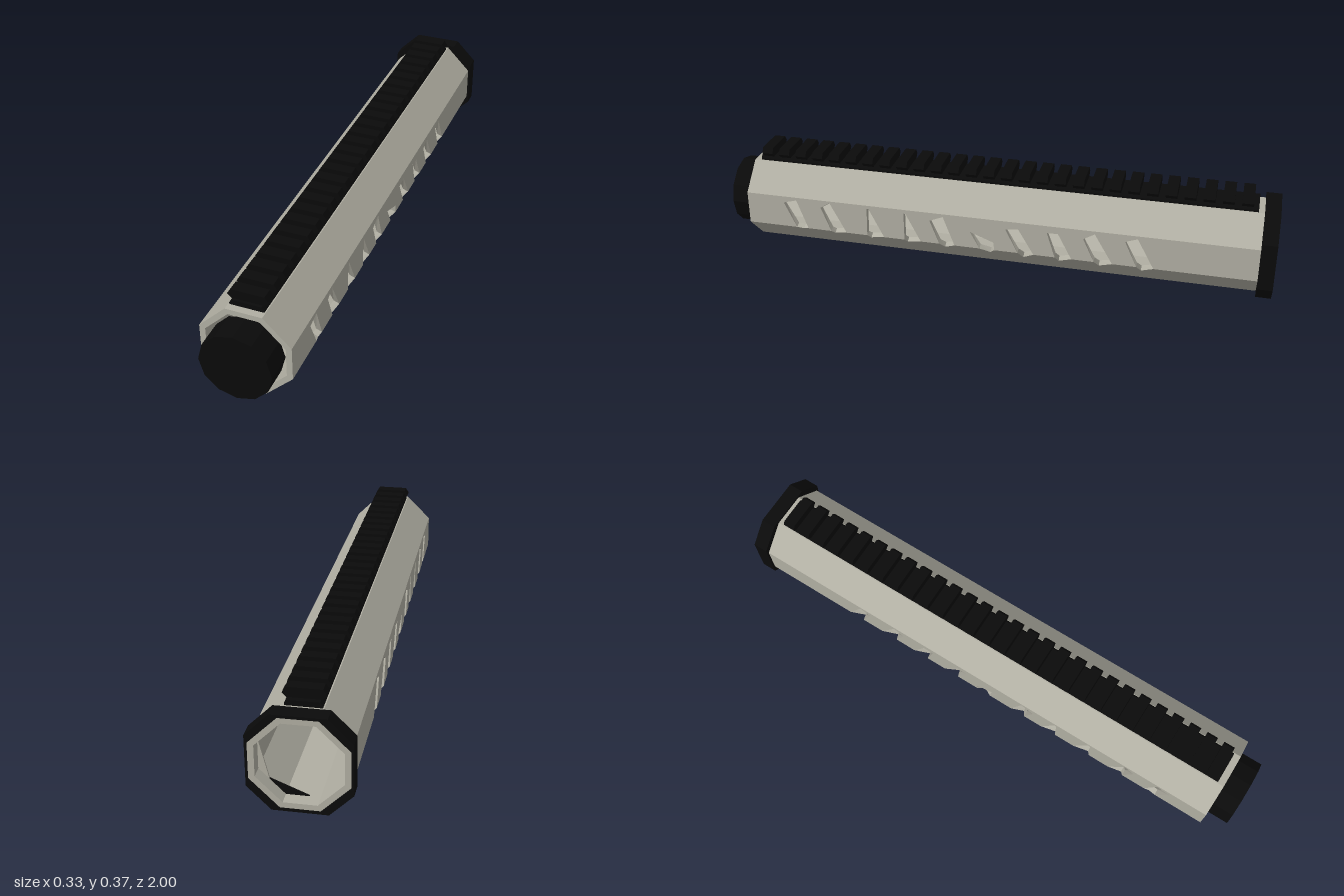
import * as THREE from 'three';

const FRONT = 0.922, BACK = -0.998;

// Octagon sections, counter-clockwise from the lower right corner
const octagon = (w, h, cx, cy, mid) => [
  [w, mid - cy], [w, mid + cy], [cx, mid + h], [-cx, mid + h],
  [-w, mid + cy], [-w, mid - cy], [-cx, mid - h], [cx, mid - h],
];
const OUTER = octagon(0.155, 0.154, 0.062, 0.061, 0.164);
const INNER = octagon(0.135, 0.135, 0.053, 0.053, 0.164);
const RIM = octagon(0.163, 0.1635, 0.087, 0.087, 0.1635);

// Vent slots: top corners (z, y, z, y), z of the two edge crossings, lower tip (z, y)
const SLOTS = [
  [0.78, 0.2, 0.73, 0.214, 0.735, 0.69, 0.71, 0.098],
  [0.636, 0.195, 0.6, 0.218, 0.6, 0.54, 0.59, 0.09],
  [0.457, 0.212, 0.45, 0.212, 0.46, 0.395, 0.45, 0.087],
  [0.317, 0.21, 0.31, 0.21, 0.317, 0.255, 0.31, 0.087],
  [0.22, 0.193, 0.17, 0.214, 0.185, 0.128, 0.17, 0.08],
  [0.07, 0.166, -0.016, 0.134, 0.035, -0.02, 0, 0.08],
  [-0.06, 0.193, -0.107, 0.198, -0.105, -0.163, -0.12, 0.07],
  [-0.21, 0.198, -0.25, 0.198, -0.24, -0.3, -0.25, 0.075],
  [-0.34, 0.19, -0.38, 0.214, -0.38, -0.445, -0.395, 0.075],
  [-0.487, 0.198, -0.53, 0.214, -0.53, -0.59, -0.545, 0.075],
];

const shapeOf = (pts) => new THREE.Shape(pts.map(([x, y]) => new THREE.Vector2(x, y)));

function prism(pts, z0, z1, hole) {
  const shape = shapeOf(pts);
  if (hole) shape.holes.push(shapeOf(hole));
  const geo = new THREE.ExtrudeGeometry(shape, { depth: z1 - z0, bevelEnabled: false });
  return geo.translate(0, 0, z0);
}

// One wall of the tube: an outline in (z, position across the wall), bent onto octagon side i
function wallGeometry(i, outline) {
  const geo = new THREE.ExtrudeGeometry(shapeOf(outline), { depth: 1, bevelEnabled: false });
  const pos = geo.attributes.position;
  const j = (i + 1) % 8, mix = THREE.MathUtils.lerp;
  for (let k = 0; k < pos.count; k++) {
    const z = pos.getX(k), t = pos.getY(k), d = pos.getZ(k);
    const [x, y] = [0, 1].map((a) => mix(mix(OUTER[i][a], OUTER[j][a], t), mix(INNER[i][a], INNER[j][a], t), d));
    pos.setXYZ(k, x, y, z);
  }
  geo.computeVertexNormals();
  return geo;
}

export function createModel() {
  const model = new THREE.Group();
  const grey = new THREE.MeshStandardMaterial({ color: 0xb0aea2 });
  grey.name = 'warm grey';
  const black = new THREE.MeshStandardMaterial({ color: 0x0a0a0a });
  black.name = 'black';

  const add = (name, geo, mat, parent = model) => {
    const mesh = new THREE.Mesh(geo, mat);
    mesh.name = name;
    parent.add(mesh);
    return mesh;
  };

  // Octagonal handguard, with slots notched across the lower side edges
  const tube = new THREE.Group();
  tube.name = 'handguard';
  model.add(tube);
  const sideT = (y) => (y - 0.103) / 0.122;
  const lowerT = (y) => (0.103 - y) / 0.093;
  const sideNotches = SLOTS.flatMap(([za, ya, zb, yb, zc, zd]) =>
    [[zc, 0], [za, sideT(ya)], [zb, sideT(yb)], [zd, 0]]);
  const lowerNotches = SLOTS.flatMap(([, , , , zc, zd, zt, yt]) =>
    [[zc, 0], [zt, lowerT(yt)], [zd, 0]]);
  for (let i = 0; i < 8; i++) {
    const notches = i % 4 === 0 ? sideNotches : i === 5 || i === 7 ? lowerNotches : [];
    const flip = i === 4 || i === 7;
    const outline = [[FRONT, 0], ...notches, [BACK, 0], [BACK, 1], [FRONT, 1]]
      .map(([z, t]) => [z, flip ? 1 - t : t]);
    add('handguardWall' + i, wallGeometry(i, outline), grey, tube);
  }

  // Rear collar around the tube
  add('rearCollar', prism(RIM, -1, -0.946, OUTER), black);

  // Small corner plates inside the rear opening
  add('innerCornerPlate', prism([[-0.02, 0.029], [0.054, 0.029], [0.102, 0.079]], -0.954, -0.948), black);
  add('innerSidePlate', prism([[0.102, 0.079], [0.135, 0.111], [0.135, 0.217]], -0.954, -0.948), grey);

  // Twelve-sided front plug
  const plug = new THREE.CylinderGeometry(0.123, 0.123, 0.1, 12).toNonIndexed();
  plug.rotateX(Math.PI / 2).rotateZ(Math.PI / 2);
  plug.computeVertexNormals();
  plug.translate(0, 0.164, 0.95);
  add('frontPlug', plug, black);

  // Top rail: a continuous base with evenly spaced teeth
  const rail = new THREE.Group();
  rail.name = 'topRail';
  model.add(rail);
  add('railBase', prism([
    [-0.058, 0.317], [0.058, 0.317], [0.058, 0.325], [0.05, 0.336], [-0.05, 0.336], [-0.058, 0.325],
  ], -0.925, 0.897), black, rail);
  const tooth = prism([
    [-0.05, 0.331], [0.05, 0.331], [0.068, 0.35], [0.056, 0.369], [-0.056, 0.369], [-0.068, 0.35],
  ], -0.02, 0.02);
  for (let i = 0; i < 28; i++) {
    add('railTooth', tooth, black, rail).position.z = 0.868 - i * 0.065;
  }
  return model;
}
